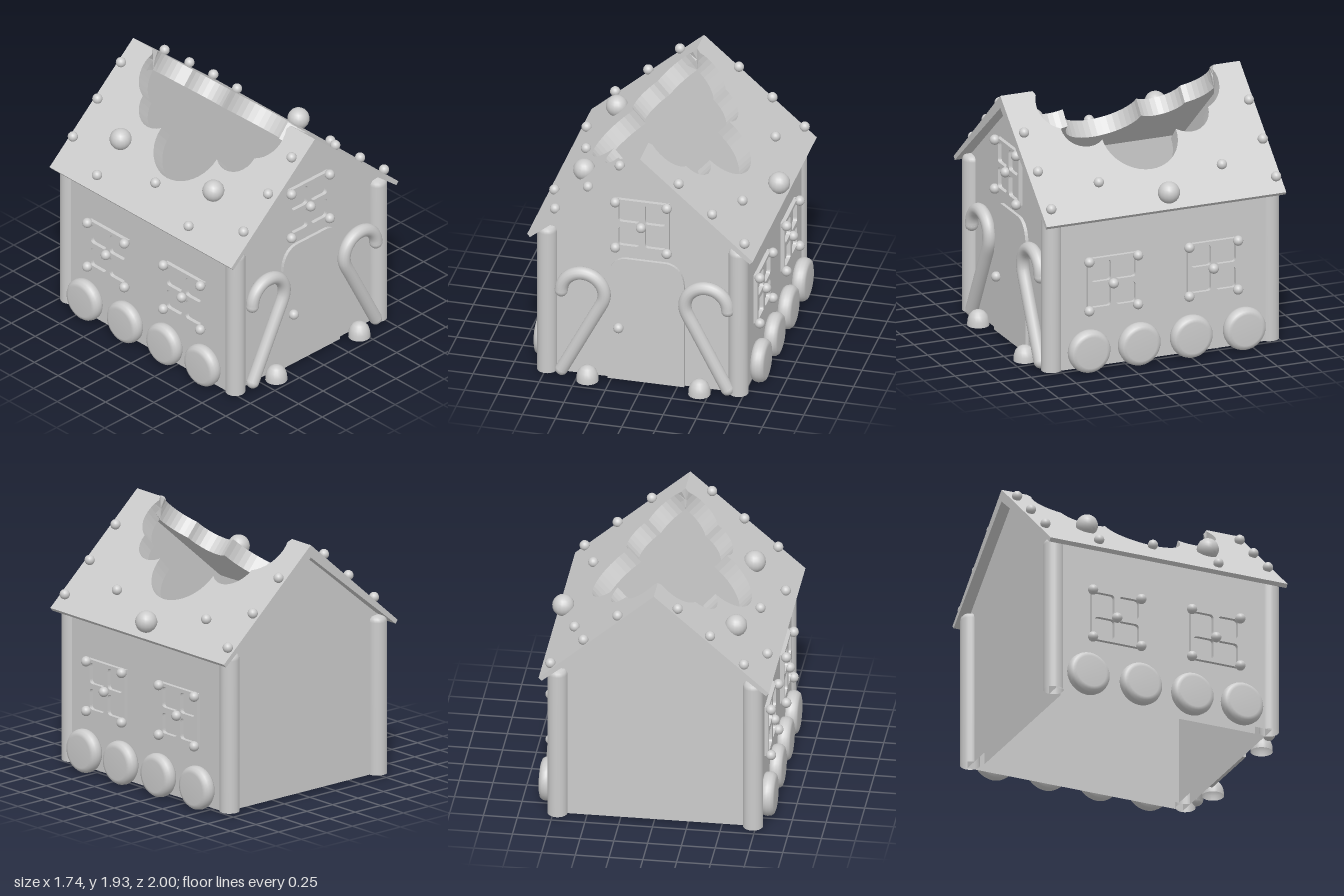
import * as THREE from 'three';

const MAT = new THREE.MeshStandardMaterial({ color: 0xcccccc });
const OPEN = new THREE.MeshStandardMaterial({ color: 0xcccccc, side: THREE.DoubleSide });
const MID = -0.01, BASE = 0.022;          // house centre line and floor height
const WALL = 0.77, FRONT = 0.827, BACK = -0.917;
const RIDGE = 1.93, SLOPE = 0.874;
const PITCH = Math.atan(SLOPE), C = Math.cos(PITCH), S = Math.sin(PITCH);
const EAVE = 0.852 / C;

function add(parent, name, geometry, x = 0, y = 0, z = 0, material = MAT) {
  const mesh = new THREE.Mesh(geometry, material);
  mesh.name = name;
  mesh.position.set(x, y, z);
  parent.add(mesh);
  return mesh;
}
const V = (x, y) => new THREE.Vector2(x, y);
const smallBall = new THREE.SphereGeometry(0.038, 16, 12);
const bigBall = new THREE.SphereGeometry(0.082, 16, 12);

// Points of the circular arc from a through b to c
function arc(a, b, c, n = 10) {
  const d = 2 * (a.x * (b.y - c.y) + b.x * (c.y - a.y) + c.x * (a.y - b.y));
  const [A, B, D] = [a, b, c].map(p => p.lengthSq());
  const o = V((A * (b.y - c.y) + B * (c.y - a.y) + D * (a.y - b.y)) / d,
    (A * (c.x - b.x) + B * (a.x - c.x) + D * (b.x - a.x)) / d);
  const ang = p => Math.atan2(p.y - o.y, p.x - o.x);
  const turn = t => ((t % (2 * Math.PI)) + 2 * Math.PI) % (2 * Math.PI);
  const start = ang(a);
  let sweep = turn(ang(c) - start);
  if (turn(ang(b) - start) > sweep) sweep -= 2 * Math.PI;
  const r = o.distanceTo(a);
  return Array.from({ length: n + 1 }, (_, i) => {
    const t = start + sweep * i / n;
    return V(o.x + r * Math.cos(t), o.y + r * Math.sin(t));
  });
}

// Scalloped opening at the ridge: x runs down the slope, y along the ridge
const holeCentre = u => -0.067 + 0.0625 * Math.min(u, 0.48);
function scallops(side) {
  const half = [
    ...arc(V(0, 0.687), V(0.15, 0.727), V(0.34, 0.589)),
    ...arc(V(0.34, 0.589), V(0.478, 0.525), V(0.48, 0.294)).slice(1),
    ...arc(V(0.48, 0.294), V(0.69, 0.21), V(0.78, 0)).slice(1),
  ];
  const other = half.slice(0, -1).reverse().map(p => V(p.x, -p.y));
  return [...half, ...other].map(p => V(p.x, p.y + holeCentre(p.x) * side));
}

// One sloping slab between depths top(u) and under(u), with the opening cut square to the slope
function slab(side, length, zFront, zBack, top, under) {
  const [hi, lo] = side > 0 ? [zFront, zBack] : [-zBack, -zFront];
  const mid = holeCentre(0) * side;
  const shape = new THREE.Shape([V(0, hi), ...scallops(side), V(0, lo), V(length, lo), V(length, hi)]);
  const geo = new THREE.ExtrudeGeometry(shape, { depth: 1, bevelEnabled: false });
  const p = geo.attributes.position;
  for (let i = 0; i < p.count; i++) {
    const u = p.getX(i);
    const w = THREE.MathUtils.lerp(top(u), under(u), p.getZ(i));
    let x = u * C - w * S, y = RIDGE - u * S - w * C, z = p.getY(i);
    if (x < 0) {                             // mitre at the ridge
      y += x * SLOPE;
      x = 0;
      if (Math.abs(z - mid) < 0.725) z = mid + Math.sign(z - mid) * 0.725;
    }
    p.setXYZ(i, x, y, z);
  }
  geo.computeVertexNormals();
  if (side < 0) geo.rotateY(Math.PI);
  return geo;
}

// Four walls as a sheet, facing out (1) or in (-1), open below
function wallShell(parent, name, half, front, back, facing) {
  const gable = new THREE.ShapeGeometry(new THREE.Shape(
    [V(-half, BASE), V(half, BASE), V(half, 1.2), V(0, 1.84), V(-half, 1.2)]));
  const side = new THREE.PlaneGeometry(front - back, 1.2 - BASE);
  const inward = facing > 0 ? 0 : Math.PI;
  add(parent, name + 'FrontWall', gable, 0, 0, front, OPEN).rotation.y = inward;
  add(parent, name + 'BackWall', gable, 0, 0, back, OPEN).rotation.y = Math.PI - inward;
  for (const s of [-1, 1])
    add(parent, name + 'SideWall', side, s * half, (1.2 + BASE) / 2, (front + back) / 2, OPEN)
      .rotation.y = s * facing * Math.PI / 2;
}

// Four-pane frame with sweets at the corners and the middle
function windowFrame() {
  const g = new THREE.Group();
  const h = 0.203;
  const shape = new THREE.Shape([V(-h, -h), V(h, -h), V(h, h), V(-h, h)]);
  const a = 0.02, b = 0.178, r = 0.028;
  for (const sx of [-1, 1]) for (const sy of [-1, 1]) {
    const x0 = sx > 0 ? a : -b, y0 = sy > 0 ? a : -b, x1 = x0 + b - a, y1 = y0 + b - a;
    const pane = new THREE.Path();
    pane.moveTo(x0 + r, y0).lineTo(x1 - r, y0).quadraticCurveTo(x1, y0, x1, y0 + r)
      .lineTo(x1, y1 - r).quadraticCurveTo(x1, y1, x1 - r, y1)
      .lineTo(x0 + r, y1).quadraticCurveTo(x0, y1, x0, y1 - r)
      .lineTo(x0, y0 + r).quadraticCurveTo(x0, y0, x0 + r, y0);
    shape.holes.push(pane);
  }
  add(g, 'frame', new THREE.ExtrudeGeometry(shape, { depth: 0.03, bevelEnabled: false, curveSegments: 5 }));
  for (const [x, y] of [[-1, -1], [1, -1], [-1, 1], [1, 1], [0, 0]])
    add(g, 'windowSweet', smallBall, x * 0.195 - 0.005, y * 0.19 - 0.005, 0.046);
  return g;
}

function candyCane(mirror) {
  const g = new THREE.Group();
  g.name = 'candyCane';
  const r = 0.049, R = 0.162, o = V(-0.467, 0.73), foot = V(-0.625, 0.07);
  const pts = [];
  const t0 = -27 * Math.PI / 180;
  const joint = V(o.x + R * Math.cos(t0), o.y + R * Math.sin(t0));
  for (let i = 0; i < 6; i++) pts.push(foot.clone().lerp(joint, i / 6));
  for (let i = 0; i <= 14; i++) {
    const t = t0 + (Math.PI - t0) * i / 14;
    pts.push(V(o.x + R * Math.cos(t), o.y + R * Math.sin(t)));
  }
  const path = pts.map(p => new THREE.Vector3(p.x * mirror, p.y, 0));
  add(g, 'stick', new THREE.TubeGeometry(new THREE.CatmullRomCurve3(path), 60, r, 14));
  for (const p of [path[0], path[path.length - 1]])
    add(g, 'stickEnd', new THREE.SphereGeometry(r, 14, 10), p.x, p.y, 0);
  g.position.set(0.016, 0, 0.88);
  return g;
}

export function createModel() {
  const root = new THREE.Group();
  const house = new THREE.Group();
  house.name = 'house';
  house.position.x = MID;
  root.add(house);

  // Walls inside and out, roof panels and the ceiling under them
  wallShell(house, 'outer', WALL, FRONT, BACK, 1);
  wallShell(house, 'inner', WALL - 0.11, FRONT - 0.085, BACK + 0.085, -1);
  const underside = u => 0.072 * (1 - 0.55 * u / EAVE);
  for (const s of [-1, 1]) {
    add(house, 'roofPanel', slab(s, EAVE, 0.915, -1, () => 0, underside));
    add(house, 'ceiling', slab(s, 1.03, FRONT - 0.02, BACK + 0.02, underside, () => 0.137));
  }

  // Round corner posts with softened tops
  const post = new THREE.LatheGeometry([V(0.074, 0), V(0.074, 1.165), V(0.068, 1.19), V(0.052, 1.207), V(0, 1.213)], 20);
  for (const s of [-1, 1]) for (const z of [0.824, -0.917])
    add(house, 'cornerPost', post, s * 0.723, BASE, z, OPEN);

  // Arched door and knob
  const door = new THREE.Shape();
  door.moveTo(-0.29, BASE).lineTo(0.29, BASE).lineTo(0.29, 0.86)
    .quadraticCurveTo(0.28, 1.02, 0.16, 1.04).lineTo(-0.16, 1.04)
    .quadraticCurveTo(-0.28, 1.02, -0.29, 0.86).closePath();
  add(root, 'door', new THREE.ExtrudeGeometry(door, { depth: 0.025, bevelEnabled: false, curveSegments: 8 }), 0.018, 0, FRONT);
  add(root, 'doorKnob', smallBall, -0.184, 0.463, FRONT + 0.045);

  // Windows: one on the front gable, two on each side
  const frontWindow = windowFrame();
  frontWindow.name = 'frontWindow';
  frontWindow.position.set(-0.008, 1.334, FRONT);
  root.add(frontWindow);
  for (const s of [-1, 1]) for (const z of [0.36, -0.44]) {
    const w = windowFrame();
    w.name = 'sideWindow';
    w.rotation.y = s * Math.PI / 2;
    w.position.set(MID + s * WALL, 0.665, z);
    root.add(w);
  }

  // Round sweets along the foot of the side walls
  const disc = new THREE.LatheGeometry([V(0, -0.054), V(0.12, -0.054), V(0.145, -0.046), V(0.16, -0.026), V(0.165, 0),
    V(0.16, 0.026), V(0.145, 0.046), V(0.12, 0.054), V(0, 0.054)], 32);
  disc.rotateZ(Math.PI / 2);
  for (const s of [-1, 1]) for (const z of [0.567, 0.166, -0.25, -0.674])
    add(root, 'discSweet', disc, s * 0.818, 0.166, z);

  // Candy canes and gumdrops beside the door
  root.add(candyCane(1), candyCane(-1));
  const drop = new THREE.LatheGeometry([V(0.082, 0), V(0.08, 0.04), V(0.068, 0.078), V(0.046, 0.104), V(0.02, 0.116), V(0, 0.118)], 20);
  for (const x of [-0.406, 0.44]) add(root, 'gumdrop', drop, x, BASE, 0.918, OPEN);

  // Sweets scattered on the roof
  const onRoof = (name, geo, x, z, lift) =>
    add(root, name, geo, x, RIDGE - SLOPE * Math.abs(x - MID) + lift, z);
  for (const z of [0.845, -0.953]) for (const x of [-0.67, -0.42, -0.18, 0.265, 0.518, 0.762])
    onRoof('roofSweet', smallBall, x, z, 0.035);
  for (const [x, z] of [[-0.79, -0.574], [-0.67, -0.084], [-0.79, 0.39], [0.637, -0.574], [0.637, 0.41]])
    onRoof('roofSweet', smallBall, x, z, 0.033);
  for (const [x, z, lift] of [[-0.558, -0.565, 0.044], [-0.558, 0.412, 0.044], [0.789, -0.084, 0.065]])
    onRoof('bigRoofSweet', bigBall, x, z, lift);
  return root;
}
